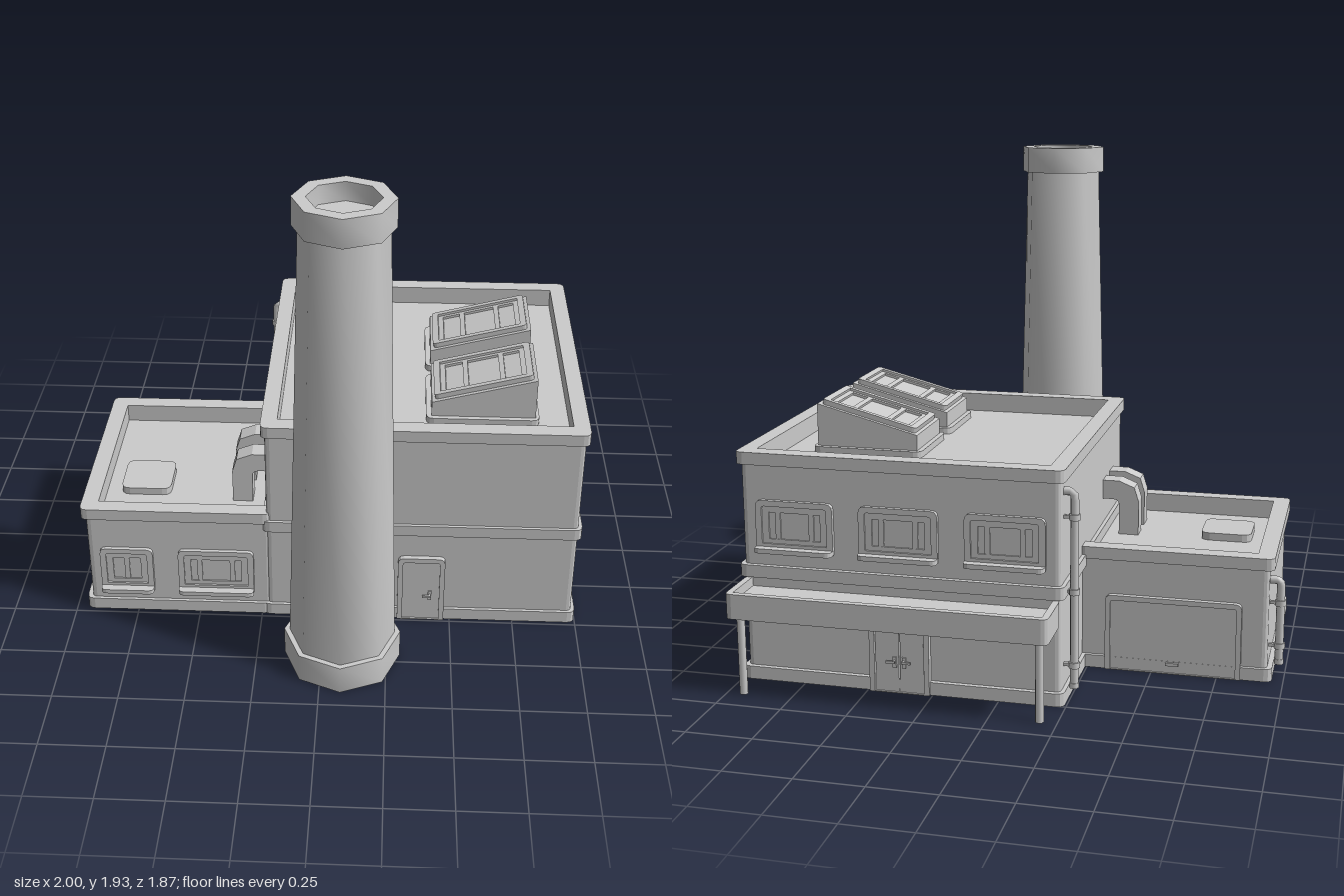
import * as THREE from 'three';
import { toCreasedNormals } from 'three/addons/utils/BufferGeometryUtils.js';

const grey = new THREE.MeshStandardMaterial({ color: 0xcccccc });

function add(parent, name, geometry, x = 0, y = 0, z = 0) {
  const mesh = new THREE.Mesh(geometry, grey);
  mesh.name = name;
  mesh.position.set(x, y, z);
  parent.add(mesh);
  return mesh;
}

function group(parent, name, x = 0, y = 0, z = 0, turn = 0) {
  const g = new THREE.Group();
  g.name = name;
  g.position.set(x, y, z);
  g.rotation.y = turn;
  parent.add(g);
  return g;
}

const box = (w, h, d) => new THREE.BoxGeometry(w, h, d);

// Rectangle outline with separate radii for its upper and lower corners
function outline(x0, y0, x1, y1, top = 0, low = top) {
  const s = new THREE.Shape();
  s.moveTo(x0 + low, y0);
  s.lineTo(x1 - low, y0);
  if (low) s.quadraticCurveTo(x1, y0, x1, y0 + low);
  s.lineTo(x1, y1 - top);
  if (top) s.quadraticCurveTo(x1, y1, x1 - top, y1);
  s.lineTo(x0 + top, y1);
  if (top) s.quadraticCurveTo(x0, y1, x0, y1 - top);
  s.lineTo(x0, y0 + low);
  if (low) s.quadraticCurveTo(x0, y0, x0 + low, y0);
  return s;
}

function extrude(shape, depth, hole) {
  if (hole) shape.holes.push(hole);
  return new THREE.ExtrudeGeometry(shape, { depth, bevelEnabled: false, curveSegments: 3 });
}

// Horizontal plate; area and hole are [x0, x1, z0, z1]
function slab(area, y0, y1, r = 0, hole = null) {
  const plan = ([x0, x1, z0, z1], radius) => outline(x0, -z1, x1, -z0, radius);
  return extrude(plan(area, r), y1 - y0, hole && plan(hole, 0)).rotateX(-Math.PI / 2).translate(0, y0, 0);
}

// Walls, flat roof, plinth and parapet of one block
function block(parent, name, band, wall, inner, roof, top) {
  const g = group(parent, name);
  add(g, 'walls', slab(wall, 0.01, roof, 0.02));
  add(g, 'plinth', slab(band, 0, 0.05, 0.03));
  add(g, 'parapet', slab(wall, roof, top - 0.045, 0.02, inner));
  add(g, 'parapetBand', slab(band, top - 0.047, top, 0.03, inner));
  return g;
}

// Window with its sill line at y = 0, facing +z; bars are mullion x positions
function windowUnit(parent, x, y, z, w, bars, turn = 0) {
  const g = group(parent, 'window', x, y, z, turn);
  const a = w / 2, h = 0.18;
  add(g, 'outerFrame', extrude(outline(-a, 0, a, h, 0.025, 0), 0.016, outline(-a + 0.024, 0.015, a - 0.024, h - 0.022, 0.01, 0)));
  add(g, 'sash', extrude(outline(-a + 0.024, 0.015, a - 0.024, h - 0.022), 0.009, outline(-a + 0.05, 0.032, a - 0.05, h - 0.046)));
  add(g, 'glass', box(w - 0.08, h - 0.06, 0.004), 0, h / 2, 0.001);
  for (const b of bars) add(g, 'mullion', box(0.02, h - 0.07, 0.008), b, h / 2 - 0.004, 0.004);
  add(g, 'sill', slab([-a, a, -0.01, 0.048], -0.015, 0.003, 0.02));
}

// Door frame and leaves, facing +z
function door(parent, name, x, z, w, h, leaves, turn = 0) {
  const g = group(parent, name, x, 0, z, turn);
  const a = w / 2, t = 0.02;
  add(g, 'frame', extrude(outline(-a, 0, a, h, 0.025, 0), 0.025, outline(-a + t, 0.004, a - t, h - t, 0.01, 0)));
  const lw = (w - 2 * t) / leaves;
  for (let i = 0; i < leaves; i++) {
    add(g, 'leaf', box(lw - (leaves > 1 ? 0.005 : 0), h - t, 0.018), -a + t + lw * (i + 0.5), (h - t) / 2, 0.009);
  }
  return g;
}

function lever(parent, x, side) {
  const g = group(parent, 'handle', x, 0.12, 0.018);
  add(g, 'plate', box(0.014, 0.042, 0.006), 0, 0, 0.003);
  add(g, 'spindle', new THREE.CylinderGeometry(0.005, 0.005, 0.018, 8).rotateX(Math.PI / 2), 0, 0.005, 0.01);
  add(g, 'grip', box(0.034, 0.009, 0.007), side * 0.012, 0.005, 0.018);
}

// Drainpipe with an elbow into the wall on its +x side
function drainpipe(parent, x, z, top, clamps) {
  const g = group(parent, 'drainpipe', x, 0, z);
  const path = new THREE.CurvePath();
  const v = (px, py) => new THREE.Vector3(px, py, 0);
  path.add(new THREE.LineCurve3(v(0, 0.055), v(0, top - 0.04)));
  path.add(new THREE.QuadraticBezierCurve3(v(0, top - 0.04), v(0, top - 0.016), v(0.018, top - 0.016)));
  path.add(new THREE.LineCurve3(v(0.018, top - 0.016), v(0.055, top - 0.016)));
  add(g, 'pipe', new THREE.TubeGeometry(path, 40, 0.016, 8));
  add(g, 'pipeEnd', new THREE.CylinderGeometry(0.018, 0.018, 0.02, 8), 0, 0.062, 0);
  for (const y of clamps) {
    add(g, 'clamp', new THREE.CylinderGeometry(0.021, 0.021, 0.022, 8), 0, y, 0);
    add(g, 'bracket', box(0.04, 0.012, 0.014), 0.022, y, 0);
  }
}

// Sloping skylight on a kerb
function skylight(parent, z) {
  const g = group(parent, 'skylight', 0, 0, z);
  add(g, 'kerb', slab([0.385, 0.82, -0.168, 0.168], 0.805, 0.835, 0.03));
  const side = new THREE.Shape();
  side.moveTo(0.405, 0.82);
  side.lineTo(0.805, 0.82);
  side.lineTo(0.805, 1.0);
  side.lineTo(0.405, 0.895);
  add(g, 'housing', extrude(side, 0.296).translate(0, 0, -0.148));
  const lid = group(g, 'lid', 0.605, 0.9475, 0);
  lid.rotation.z = Math.atan2(0.105, 0.4);
  add(lid, 'lidFrame', slab([-0.193, 0.193, -0.132, 0.132], -0.002, 0.02, 0.015, [-0.168, 0.168, -0.11, 0.11]));
  add(lid, 'innerFrame', slab([-0.168, 0.168, -0.11, 0.11], -0.002, 0.01, 0, [-0.148, 0.148, -0.095, 0.095]));
  for (const x of [-0.068, 0.075]) add(lid, 'glazingBar', box(0.02, 0.012, 0.192), x, 0.004, 0);
}

// Square duct rising from the low roof and bending into the tall wall
function duct(parent, z) {
  const s = new THREE.Shape();
  s.moveTo(-0.375, 0.4);
  s.lineTo(-0.295, 0.4);
  s.lineTo(-0.295, 0.535);
  s.quadraticCurveTo(-0.293, 0.555, -0.27, 0.555);
  s.lineTo(-0.215, 0.555);
  s.lineTo(-0.215, 0.632);
  s.lineTo(-0.295, 0.632);
  s.lineTo(-0.357, 0.607);
  s.lineTo(-0.375, 0.55);
  add(parent, 'duct', extrude(s, 0.076), 0, 0, z - 0.038);
}

export function createModel() {
  const model = new THREE.Group();
  model.name = 'factory';

  // Tall hall with skylights
  const hallBand = [-0.243, 0.998, -0.757, 0.485];
  const hall = block(model, 'mainHall', hallBand, [-0.228, 0.983, -0.738, 0.472], [-0.18, 0.935, -0.69, 0.42], 0.81, 0.885);
  add(hall, 'middleBand', slab(hallBand, 0.405, 0.452, 0.03));
  skylight(hall, -0.26);
  skylight(hall, 0.14);
  for (const x of [-0.025, 0.375, 0.775]) windowUnit(hall, x, 0.525, -0.738, 0.3, [-0.065, 0.065], Math.PI);
  const front = door(hall, 'frontDoor', 0.383, 0.468, 0.185, 0.3, 1);
  lever(front, 0.035, -1);
  const back = door(hall, 'backDoor', 0.375, -0.742, 0.23, 0.29, 2, Math.PI);
  for (const s of [-1, 1]) lever(back, s * 0.018, s);
  drainpipe(hall, -0.267, -0.685, 0.81, [0.14, 0.42, 0.7]);

  // Canopy on two posts
  const canopy = group(model, 'canopy');
  const cover = [-0.225, 0.977, -0.94, -0.73];
  add(canopy, 'canopyDeck', slab(cover, 0.305, 0.365, 0.025));
  add(canopy, 'canopyRim', slab(cover, 0.365, 0.4, 0.025, [-0.2, 0.952, -0.915, -0.735]));
  for (const x of [-0.185, 0.937]) add(canopy, 'post', new THREE.CylinderGeometry(0.016, 0.016, 0.31, 8), x, 0.155, -0.892);

  // Low wing with roof hatch, ducts and roller door
  const wing = block(model, 'wing', [-0.957, -0.21, -0.36, 0.481], [-0.938, -0.21, -0.345, 0.468], [-0.89, -0.222, -0.295, 0.42], 0.41, 0.485);
  windowUnit(wing, -0.785, 0.12, 0.468, 0.21, [0]);
  windowUnit(wing, -0.43, 0.12, 0.468, 0.3, [-0.065, 0.065]);
  add(wing, 'roofHatch', slab([-0.83, -0.63, 0.06, 0.26], 0.405, 0.44, 0.035));
  for (const z of [0.1, 0.248]) duct(wing, z);
  const roller = door(wing, 'rollerDoor', -0.58, -0.341, 0.52, 0.3, 1, Math.PI);
  add(roller, 'rollerHandle', box(0.05, 0.012, 0.014), 0, 0.04, 0.022);
  drainpipe(wing, -0.978, -0.29, 0.4, [0.125, 0.295]);

  // Eight-sided chimney with a hollow collar
  const profile = [[0, 0], [0.223, 0], [0.223, 0.115], [0.202, 0.115], [0.157, 1.825], [0.177, 1.825],
    [0.177, 1.93], [0.128, 1.93], [0.128, 1.86], [0, 1.86]].map(([r, y]) => new THREE.Vector2(r, y));
  add(model, 'chimney', toCreasedNormals(new THREE.LatheGeometry(profile, 8), 0.9), 0.08, 0, 0.708);

  return model;
}
